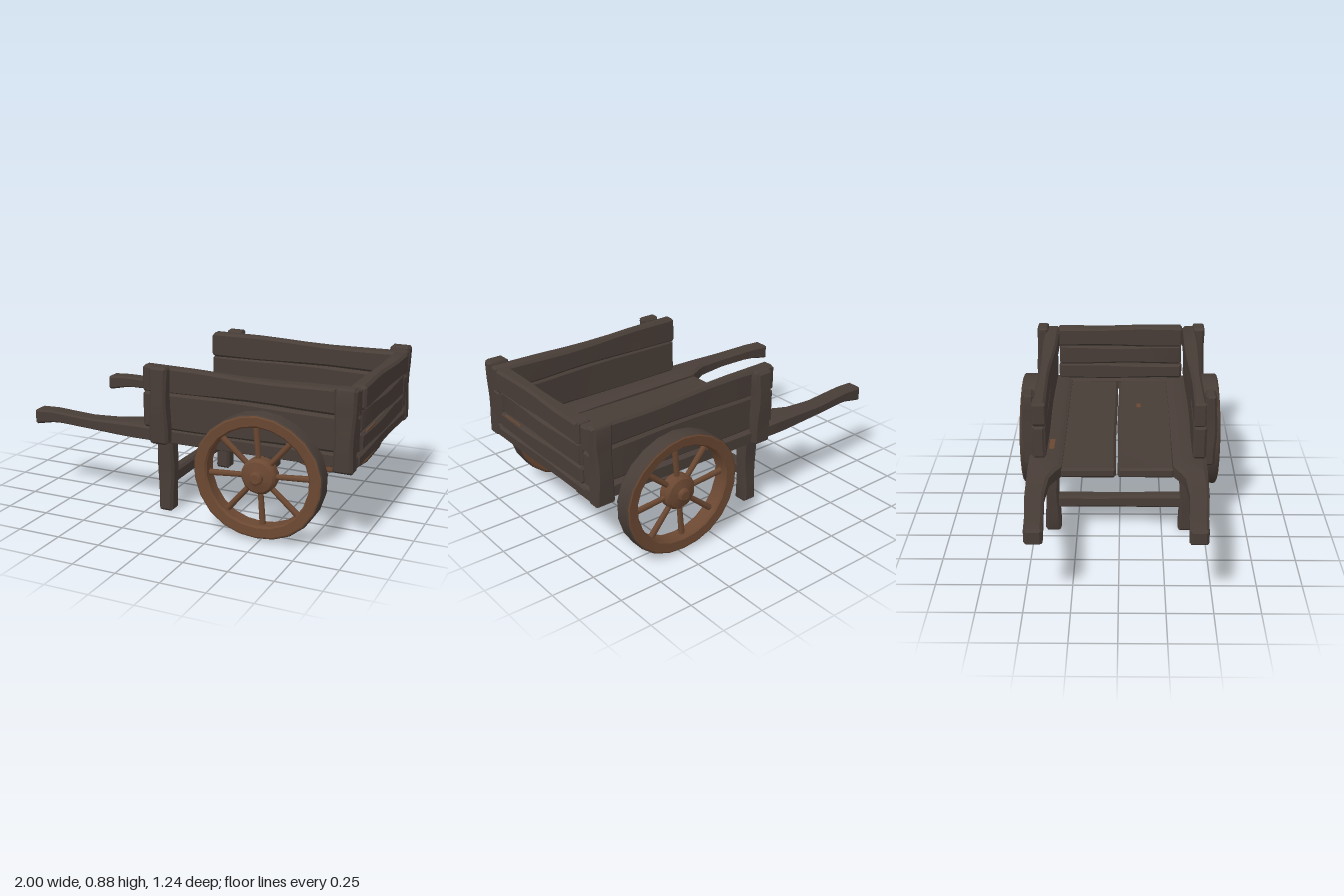
import * as THREE from 'three';
import { toCreasedNormals } from 'three/addons/utils/BufferGeometryUtils.js';

const darkWood = new THREE.MeshStandardMaterial({ color: 0x483d37 });
darkWood.name = 'darkWood';
const wheelWood = new THREE.MeshStandardMaterial({ color: 0x6b4832 });
wheelWood.name = 'wheelWood';

let seed = 1;

// Move every vertex of a geometry by a rule, then recompute creased normals
function reshape(geo, rule, crease = 0.5) {
  const p = geo.attributes.position;
  const v = new THREE.Vector3();
  for (let i = 0; i < p.count; i++) {
    rule(v.fromBufferAttribute(p, i));
    p.setXYZ(i, v.x, v.y, v.z);
  }
  return toCreasedNormals(geo, crease);
}

function addMesh(parent, name, geo, material) {
  const mesh = new THREE.Mesh(geo, material);
  mesh.name = name;
  parent.add(mesh);
  return mesh;
}

// Hand-hewn beam between two corners: chamfered edges and a gentle wobble
function beam(parent, name, min, max, { wobble = 0.005, chamfer = 0.014, n = 8, bend } = {}) {
  const axes = ['x', 'y', 'z'];
  const size = max.map((m, i) => m - min[i]);
  const long = size.indexOf(Math.max(...size));
  const segs = [3, 3, 3];
  segs[long] = n;
  const phase = (seed++) * 1.7;
  const geo = reshape(new THREE.BoxGeometry(1, 1, 1, ...segs), v => {
    const t = v.toArray();
    const ends = t.map(c => Math.abs(c) > 0.499);
    const edge = ends.filter(Boolean).length > 1;
    axes.forEach((a, i) => {
      const half = size[i] / 2;
      const nextToEnd = Math.abs(t[i]) > 0.499 - 1 / segs[i];
      let c = t[i] * size[i];
      if (ends[i]) c = Math.sign(t[i]) * (half - (edge ? chamfer / 2 : 0));
      else if (nextToEnd) c = Math.sign(t[i]) * (half - chamfer);
      if (i !== long) c += wobble * Math.sin(t[long] * 7 + phase + i * 2) * Math.sign(t[i]);
      v[a] = c + (min[i] + max[i]) / 2;
    });
    if (bend) bend(v);
  });
  return addMesh(parent, name, geo, darkWood);
}

// Rail and handle outline: x, inner z, outer z, bottom y, top y
const railStations = [
  [-1, 0.37, 0.47, 0.42, 0.51], [-0.93, 0.37, 0.47, 0.425, 0.52],
  [-0.86, 0.375, 0.475, 0.45, 0.517], [-0.62, 0.39, 0.495, 0.447, 0.51],
  [-0.42, 0.375, 0.5, 0.437, 0.517], [-0.33, 0.315, 0.502, 0.432, 0.52],
  [0.98, 0.31, 0.495, 0.432, 0.515],
];

function railAt(x) {
  let i = 0;
  while (i < railStations.length - 2 && x > railStations[i + 1][0]) i++;
  const a = railStations[i], b = railStations[i + 1];
  const t = THREE.MathUtils.clamp((x - a[0]) / (b[0] - a[0]), 0, 1);
  return a.map((q, k) => THREE.MathUtils.lerp(q, b[k], t));
}

function buildRail(parent, side) {
  beam(parent, 'railAndHandle', [-1, -0.05, -0.05], [0.98, 0.05, 0.05], {
    n: 32, wobble: 0.001,
    bend: v => {
      const [, zi, zo, y0, y1] = railAt(v.x);
      v.y = (y0 + y1) / 2 + v.y * 10 * (y1 - y0);
      v.z = side * (zi + zo) / 2 - 0.01 + v.z * 10 * (zo - zi);
    },
  });
}

// Wheel around the local z axis, outer side towards +z
function buildWheel() {
  const wheel = new THREE.Group();
  wheel.name = 'wheel';
  const ring = (points, segments) =>
    new THREE.LatheGeometry(points.map(([r, y]) => new THREE.Vector2(r, y)), segments).rotateX(Math.PI / 2);
  const uneven = v => {
    const a = Math.atan2(v.y, v.x);
    const k = 1 + 0.03 * Math.cos(2 * a) + 0.006 * Math.sin(5 * a);
    v.x *= k;
    v.y *= k;
  };
  const rim = ring([[0.35, 0.048], [0.342, 0.052], [0.292, 0.048], [0.283, 0.038],
    [0.283, -0.038], [0.292, -0.048], [0.342, -0.052], [0.35, -0.048]], 22);
  addMesh(wheel, 'rim', reshape(rim, uneven), wheelWood);
  const tread = ring([[0.35, -0.048], [0.355, -0.04], [0.355, 0.04], [0.35, 0.048]], 22);
  addMesh(wheel, 'tread', reshape(tread, uneven), darkWood);
  const hub = ring([[0, -0.045], [0.085, -0.045], [0.1, -0.03], [0.1, 0.015], [0.085, 0.033],
    [0.038, 0.045], [0.036, 0.06], [0.026, 0.067], [0, 0.067]], 14);
  addMesh(wheel, 'hub', toCreasedNormals(hub, 0.6), wheelWood);
  for (let i = 0; i < 8; i++) {
    const spoke = new THREE.CylinderGeometry(0.018, 0.015, 0.23, 7);
    spoke.translate(0, 0.19, 0).rotateZ(i * Math.PI / 4 + 0.08);
    addMesh(wheel, 'spoke', spoke, wheelWood);
  }
  return wheel;
}

export function createModel() {
  seed = 1;
  const cart = new THREE.Group();
  cart.name = 'handcart';

  // Floor boards with a narrow gap
  beam(cart, 'floorBoard', [-0.33, 0.44, -0.335], [0.91, 0.498, -0.02], { wobble: 0.003 });
  beam(cart, 'floorBoard', [-0.33, 0.44, -0.012], [0.91, 0.498, 0.315], { wobble: 0.003 });

  for (const side of [1, -1]) {
    // Box placed on this side of the cart; z given outward
    const sideBeam = (name, x0, x1, y0, y1, z0, z1, options) => {
      const zs = side > 0 ? [z0, z1] : [-z1, -z0];
      return beam(cart, name, [x0, y0, zs[0]], [x1, y1, zs[1]], options);
    };
    buildRail(cart, side);

    // Side wall
    sideBeam('lowerSideBoard', -0.25, 0.98, 0.515, 0.722, 0.42, 0.487);
    sideBeam('upperSideBoard', -0.25, 0.985, 0.722, 0.86, 0.412, 0.487, { wobble: 0.008 });
    sideBeam('frontPost', -0.18, -0.075, 0.44, 0.878, 0.478, 0.55);
    sideBeam('rearPost', 0.875, 0.985, 0.432, 0.882, 0.47, 0.548);

    // Support leg and axle stub
    sideBeam('leg', -0.195, -0.1, 0.005, 0.45, 0.35, 0.432);
    sideBeam('axleBlock', 0.43, 0.53, 0.355, 0.438, 0.355, 0.515, { chamfer: 0.024 });

    const wheel = buildWheel();
    wheel.position.set(0.482, 0.36, side * 0.555);
    if (side < 0) wheel.rotation.y = Math.PI;
    cart.add(wheel);
  }

  // Brace between the legs
  beam(cart, 'legBrace', [-0.182, 0.157, -0.37], [-0.112, 0.235, 0.37], { wobble: 0.002 });

  // Tailboard
  beam(cart, 'tailSill', [0.9, 0.44, -0.45], [0.985, 0.512, 0.45], { wobble: 0.003 });
  beam(cart, 'tailBoard', [0.915, 0.512, -0.41], [0.99, 0.615, 0.405]);
  beam(cart, 'tailBoard', [0.92, 0.615, -0.405], [0.985, 0.74, 0.4]);
  beam(cart, 'tailBoard', [0.915, 0.74, -0.41], [0.995, 0.868, 0.405]);

  // Worn patches of lighter wood
  const patch = (w, h, d, x, y, z) =>
    addMesh(cart, 'wornPatch', new THREE.BoxGeometry(w, h, d), wheelWood).position.set(x, y, z);
  patch(0.12, 0.006, 0.03, -0.07, 0.52, -0.392);
  patch(0.05, 0.006, 0.025, 0.51, 0.5, 0.115);
  patch(0.006, 0.01, 0.16, 0.989, 0.612, 0.26);

  return cart;
}
